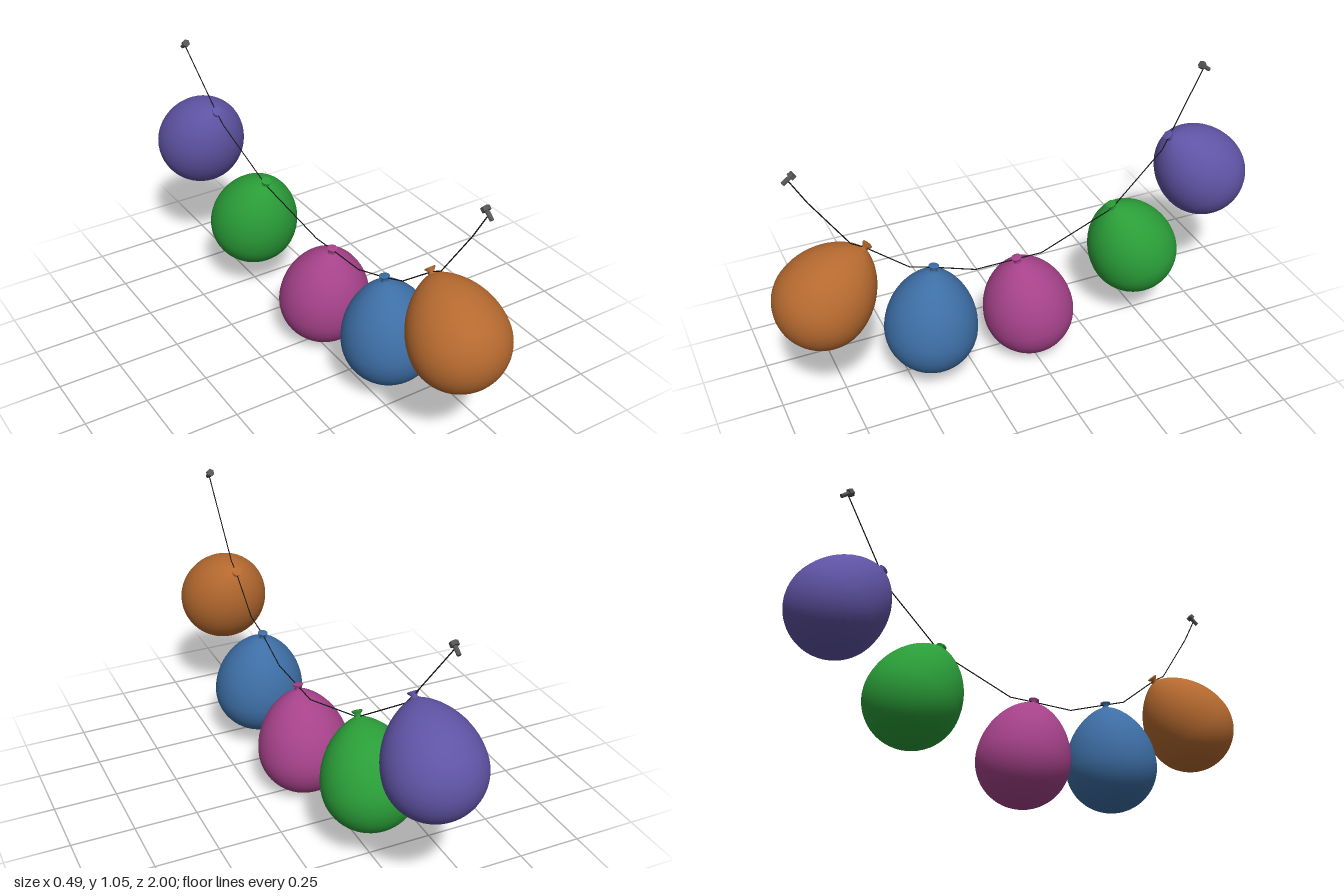
import * as THREE from 'three';

const V = (x, y, z) => new THREE.Vector3(x, y, z);
const UP = V(0, 1, 0);
const material = (color, flatShading = false) => new THREE.MeshStandardMaterial({ color, flatShading });

// Egg-shaped body: round below its centre, drawn out towards the neck above
function bodyGeometry() {
  const points = [];
  const steps = 32;
  for (let i = 0; i <= steps; i++) {
    const t = Math.PI * (1 - i / steps);
    const s = Math.max(0, Math.sin(t));
    const c = Math.cos(t);
    points.push(c < 0
      ? new THREE.Vector2(0.178 * s, 0.178 * c)
      : new THREE.Vector2(0.178 * Math.pow(s, 1.3), 0.25 * c));
  }
  return new THREE.LatheGeometry(points, 48);
}

// Tied neck with a flared lip
function knotGeometry() {
  const profile = [[0.016, 0.238], [0.016, 0.248], [0.010, 0.255], [0.020, 0.266], [0.020, 0.270], [0, 0.270]];
  return new THREE.LatheGeometry(profile.map(([r, y]) => new THREE.Vector2(r, y)), 16);
}

// Hex-headed bolt, head towards +y
function createBolt(name, position, direction) {
  const bolt = new THREE.Group();
  bolt.name = name;
  const metal = material(0x555555, true);
  const head = new THREE.Mesh(new THREE.CylinderGeometry(0.016, 0.016, 0.016, 6), metal);
  head.name = name + 'Head';
  head.position.y = 0.017;
  const shank = new THREE.Mesh(new THREE.CylinderGeometry(0.008, 0.008, 0.034, 10), metal);
  shank.name = name + 'Shank';
  shank.position.y = -0.008;
  bolt.add(head, shank);
  bolt.position.copy(position);
  bolt.quaternion.setFromUnitVectors(UP, direction.normalize());
  return bolt;
}

export function createModel() {
  const model = new THREE.Group();
  model.name = 'balloonGarland';

  // Balloons: body centre and the point where the knot meets the string
  const balloons = [
    ['orangeBalloon', 0xb5692f, V(0.063, 0.49, 0.82), V(0.063, 0.673, 0.645)],
    ['blueBalloon', 0x3d6ea5, V(0.064, 0.243, 0.415), V(0.053, 0.50, 0.389)],
    ['pinkBalloon', 0xa6428a, V(0.042, 0.181, 0), V(0.045, 0.437, 0.05)],
    ['greenBalloon', 0x2a9d38, V(-0.003, 0.304, -0.485), V(0, 0.539, -0.378)],
    ['purpleBalloon', 0x5f53a4, V(-0.066, 0.553, -0.822), V(-0.066, 0.753, -0.657)],
  ];
  const body = bodyGeometry();
  const knot = knotGeometry();
  for (const [name, color, centre, tip] of balloons) {
    const balloon = new THREE.Group();
    balloon.name = name;
    const skin = material(color);
    const bodyMesh = new THREE.Mesh(body, skin);
    bodyMesh.name = name + 'Body';
    bodyMesh.scale.x = 1.02;
    const knotMesh = new THREE.Mesh(knot, skin);
    knotMesh.name = name + 'Knot';
    balloon.add(bodyMesh, knotMesh);
    balloon.position.copy(centre);
    balloon.quaternion.setFromUnitVectors(UP, tip.clone().sub(centre).normalize());
    model.add(balloon);
  }

  // Sagging string in straight runs from bolt to bolt
  const path = [
    V(0.079, 1.025, 0.89), V(0.072, 0.914, 0.83), V(0.064, 0.705, 0.695), V(0.063, 0.673, 0.645),
    V(0.063, 0.54, 0.485), V(0.053, 0.503, 0.389), V(0.051, 0.442, 0.222), V(0.045, 0.437, 0.05),
    V(0.040, 0.432, -0.056), V(0, 0.525, -0.378), V(-0.055, 0.705, -0.625), V(-0.066, 0.75, -0.657),
    V(-0.113, 1.0, -0.823),
  ];
  const string = new THREE.Group();
  string.name = 'string';
  const cord = material(0x151515);
  for (let i = 1; i < path.length; i++) {
    const run = path[i].clone().sub(path[i - 1]);
    const length = run.length();
    const piece = new THREE.Mesh(new THREE.CylinderGeometry(0.0022, 0.0022, length, 8), cord);
    piece.name = 'stringRun';
    piece.position.copy(path[i - 1]).addScaledVector(run, 0.5);
    piece.quaternion.setFromUnitVectors(UP, run.normalize());
    string.add(piece);
  }
  model.add(string);

  // Bolts at both ends, heads tilted up and inwards
  model.add(createBolt('frontBolt', V(0.079, 1.027, 0.887), V(0, 0.6, -0.8)));
  model.add(createBolt('backBolt', V(-0.113, 1.0, -0.827), V(0, 0.6, 0.8)));
  return model;
}
